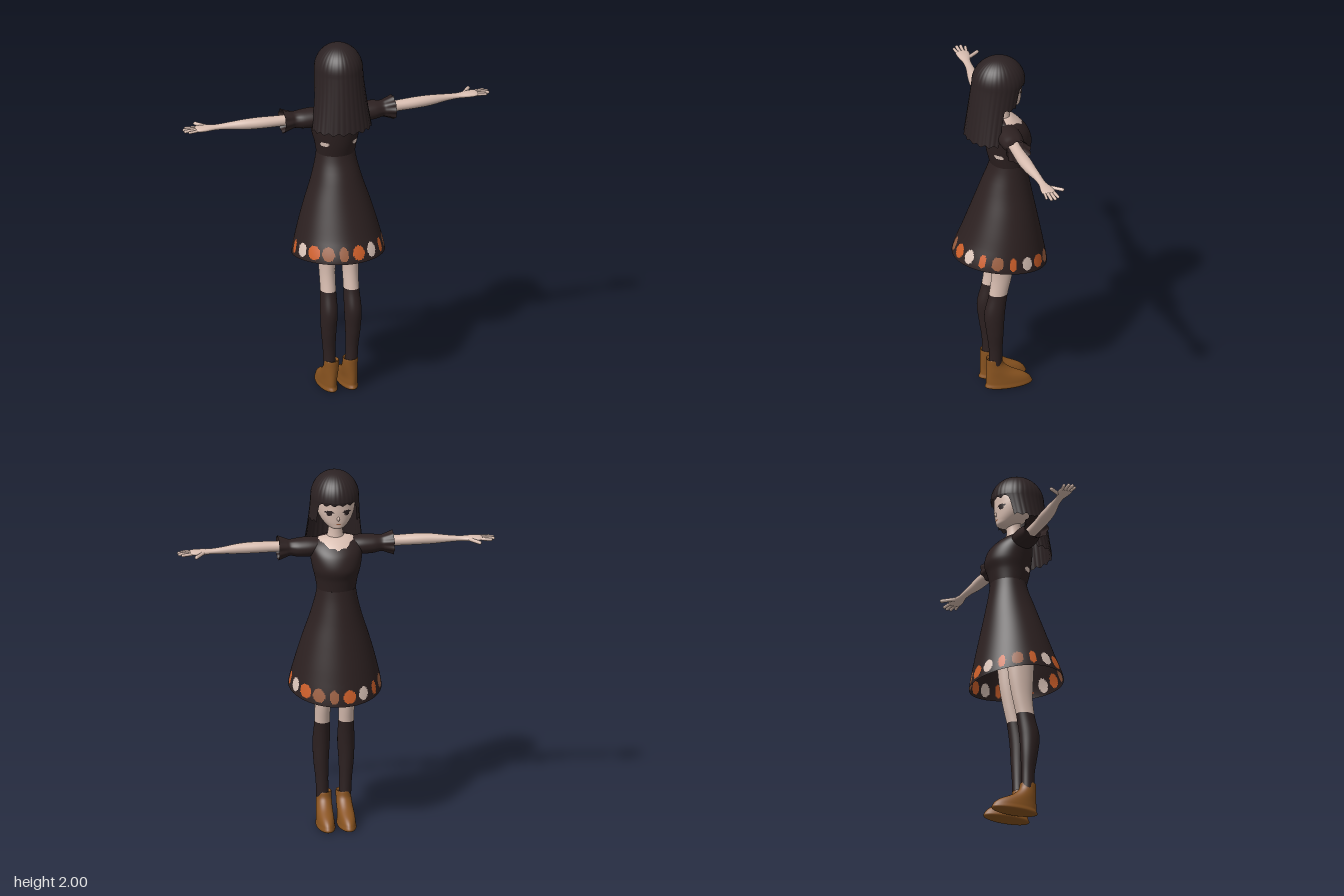
import * as THREE from 'three';

const flat = (name, color) => new THREE.MeshStandardMaterial({ name, color, side: THREE.DoubleSide });
const hairMat = flat('hair', 0x2c2223);
const cloth = flat('darkCloth', 0x2d2121);
const skin = flat('skin', 0xd8bdb0);
const leather = flat('tanLeather', 0x8a5420);
const orange = flat('orangeSpot', 0xd0602a);
const brown = flat('brownSpot', 0x9c5f40);
const pale = flat('paleSpot', 0xe0c8bc);

// Closed-around grid surface; paint() picks a material index for each quad centre.
function surface(name, nu, nv, fn, mats, paint = () => 0, flip = false) {
  const pos = [], faces = mats.map(() => []);
  for (let j = 0; j <= nv; j++)
    for (let i = 0; i < nu; i++) pos.push(...fn((i / nu) * Math.PI * 2, j / nv));
  for (let j = 0; j < nv; j++)
    for (let i = 0; i < nu; i++) {
      const k = (i + 1) % nu;
      const a = j * nu + i, b = a + nu, c = j * nu + k, d = c + nu;
      const mid = [0, 1, 2].map((n) => (pos[a * 3 + n] + pos[d * 3 + n]) / 2);
      const f = faces[paint(...mid, ((i + 0.5) / nu) * Math.PI * 2)];
      if (flip) f.push(a, c, b, c, d, b);
      else f.push(a, b, c, c, b, d);
    }
  const g = new THREE.BufferGeometry();
  g.setAttribute('position', new THREE.Float32BufferAttribute(pos, 3));
  g.setIndex(faces.flat());
  let start = 0;
  faces.forEach((f, m) => { g.addGroup(start, f.length, m); start += f.length; });
  g.computeVertexNormals();
  const mesh = new THREE.Mesh(g, mats.length > 1 ? mats : mats[0]);
  mesh.name = name;
  return mesh;
}

// Smooth interpolation through a list of cross-section rows.
function sample(rows, t) {
  const n = rows.length - 1, i = Math.min(n - 1, Math.floor(t * n)), f = t * n - i;
  const p = (k) => rows[Math.max(0, Math.min(n, k))];
  return rows[0].map((_, c) => {
    const [a, b, d, e] = [p(i - 1)[c], p(i)[c], p(i + 1)[c], p(i + 2)[c]];
    return b + 0.5 * f * (d - a + f * (2 * a - 5 * b + 4 * d - e + f * (3 * (b - d) + e - a)));
  });
}

// Upright body: rows run downwards as [y, cx, cz, rx, rz].
const upright = (rows, s = 1) => (p, v) => {
  const [y, cx, cz, rx, rz] = sample(rows, v);
  return [s * (cx + Math.max(0, rx) * Math.sin(p)), y, cz + Math.max(0, rz) * Math.cos(p)];
};
// Sideways limb: rows run outwards as [x, cy, cz, ry, rz].
const sideways = (rows, s, ruffle = () => 1) => (p, v) => {
  const [x, cy, cz, ry, rz] = sample(rows, v), k = ruffle(p, v);
  return [s * x, cy + Math.max(0, ry) * k * Math.sin(p), cz + Math.max(0, rz) * k * Math.cos(p)];
};

const inEllipse = (x, y, rx, ry) => (x / rx) ** 2 + (y / ry) ** 2 < 1;

// Hair: dome, straight fringe, short side locks and a long back curtain.
function hair(p, v) {
  const a = p > Math.PI ? 2 * Math.PI - p : p;
  const step = (edge) => THREE.MathUtils.smoothstep(a, edge - 0.02, edge + 0.02);
  const bottom = 1.545 + 0.19 * step(1.65) + 0.11 * step(2.25) + 0.006 * Math.cos(p * 18);
  let y, k = 1, d = 0;
  if (v < 0.4) {
    const q = (v / 0.4) * Math.PI / 2;
    y = 1.86 + 0.14 * Math.cos(q);
    k = Math.sin(q);
  } else {
    y = THREE.MathUtils.lerp(1.86, bottom, (v - 0.4) / 0.6);
    d = (1.86 - y) / 0.315;
  }
  const strand = k * (1 + (0.008 + 0.012 * d) * (Math.abs(Math.cos(p * 16)) - 0.6));
  return [(0.13 + 0.033 * d ** 1.5) * strand * Math.sin(p), y,
    0.005 + 0.055 * d + (0.145 - 0.015 * d) * strand * Math.cos(p)];
}

// Skirt: flared, with the hem dipping towards the face side (-z).
const skirtRows = [[0.105, -0.145, 0.05], [0.135, -0.17, 0.1], [0.18, -0.2, 0.15],
  [0.22, -0.23, 0.202], [0.25, -0.255, 0.255]];
const hemY = (p) => 0.815 - 0.07 * ((1 - Math.cos(p)) / 2) ** 1.7;
function skirt(p, v) {
  const s = v < 0.4 ? (v / 0.4) * 0.8 : 0.8 + ((v - 0.4) / 0.6) * 0.2;
  const [rx, front, back] = sample(skirtRows, s);
  return [rx * Math.sin(p), THREE.MathUtils.lerp(1.36, hemY(p), s),
    (front + back) / 2 + ((back - front) / 2) * Math.cos(p)];
}
// Spots around the hem: material index and half width.
const spots = [[1, 0.036], [3, 0.03], [1, 0.022], [2, 0.034], [1, 0.022], [3, 0.033],
  [1, 0.04], [2, 0.036], [2, 0.026]];
function hemSpot(x, y, z, p) {
  const count = 18, i = Math.floor((p / (2 * Math.PI)) * count);
  const [m, w] = spots[i % spots.length];
  const across = (p - ((i + 0.5) / count) * 2 * Math.PI) * 0.252;
  return inEllipse(across, y - hemY(p) - 0.052, w, 0.037) ? m : 0;
}

export function createModel() {
  const g = new THREE.Group();
  g.name = 'girl';

  g.add(surface('hair', 192, 40, hair, [hairMat]));

  // Head with painted eyes and mouth
  const headRows = [[1.96, 0, 0, 0, 0], [1.94, 0, 0, 0.07, 0.075], [1.88, 0, -0.005, 0.1, 0.112],
    [1.82, 0, -0.01, 0.105, 0.112], [1.77, 0, -0.025, 0.092, 0.094],
    [1.73, 0, -0.045, 0.066, 0.07], [1.705, 0, -0.06, 0.036, 0.046], [1.695, 0, -0.06, 0, 0]];
  g.add(surface('head', 144, 84, upright(headRows), [skin, hairMat, brown, pale], (x, y, z) => {
    if (z > -0.03) return 0;
    const ex = Math.abs(x) - 0.047, ey = y - 1.797;
    if (inEllipse(ex, ey, 0.026, 0.014)) return ey > 0 || Math.abs(ex) < 0.013 ? 1 : 3;
    return inEllipse(x, y - 1.733, 0.015, 0.003) ? 2 : 0;
  }));
  const nose = new THREE.Mesh(new THREE.SphereGeometry(0.01, 12, 8), skin);
  nose.name = 'nose';
  nose.scale.set(0.8, 1.3, 1.3);
  nose.position.set(0, 1.765, -0.116);
  g.add(nose);
  g.add(surface('neck', 32, 6, upright([[1.75, 0, -0.02, 0.042, 0.042],
    [1.68, 0, -0.015, 0.038, 0.04], [1.6, 0, -0.01, 0.055, 0.05]]), [skin]));

  // Bodice with scalloped neckline and two small pale patches on the back
  const bodiceRows = [[1.645, 0, -0.01, 0.03, 0.03], [1.635, 0, -0.01, 0.09, 0.058],
    [1.6, 0, -0.022, 0.135, 0.092], [1.55, 0, -0.038, 0.14, 0.118],
    [1.48, 0, -0.05, 0.13, 0.125], [1.42, 0, -0.046, 0.115, 0.112], [1.36, 0, -0.047, 0.105, 0.098]];
  g.add(surface('bodice', 120, 60, upright(bodiceRows), [cloth, skin, pale], (x, y, z) => {
    if (z < -0.01 && y > 1.583 + 0.01 * Math.abs(Math.sin(x * 70)) + 5 * x * x) return 1;
    return z > -0.02 && inEllipse(Math.abs(x) - 0.085, y - 1.432, 0.019, 0.014) ? 2 : 0;
  }));
  g.add(surface('skirt', 252, 36, skirt, [cloth, orange, brown, pale], hemSpot));

  const sleeveRows = [[0.08, 1.585, -0.012, 0.045, 0.06], [0.14, 1.583, -0.012, 0.052, 0.066],
    [0.2, 1.582, -0.012, 0.05, 0.062], [0.245, 1.583, -0.012, 0.044, 0.05],
    [0.27, 1.583, -0.012, 0.05, 0.055], [0.312, 1.583, -0.012, 0.064, 0.068]];
  const armRows = [[0.2, 1.59, -0.005, 0.03, 0.03], [0.32, 1.59, -0.005, 0.029, 0.031],
    [0.43, 1.592, -0.008, 0.03, 0.035], [0.52, 1.592, -0.014, 0.028, 0.03],
    [0.61, 1.591, -0.025, 0.019, 0.022], [0.68, 1.59, -0.03, 0.014, 0.021],
    [0.74, 1.59, -0.034, 0.015, 0.034], [0.785, 1.59, -0.035, 0.011, 0.034], [0.795, 1.59, -0.035, 0, 0]];
  const legRows = [[1.0, 0.065, -0.01, 0.055, 0.08], [0.89, 0.065, -0.004, 0.052, 0.076],
    [0.78, 0.065, 0, 0.047, 0.068], [0.67, 0.065, 0.009, 0.042, 0.056],
    [0.57, 0.065, 0.027, 0.042, 0.051], [0.46, 0.067, 0.047, 0.046, 0.056],
    [0.35, 0.068, 0.045, 0.041, 0.047], [0.24, 0.064, 0.04, 0.034, 0.037], [0.12, 0.06, 0.04, 0.033, 0.036]];
  const bootRows = [[0.165, 0.053, 0.044, 0.03, 0.034], [0.178, 0.053, 0.045, 0.04, 0.044],
    [0.14, 0.053, 0.04, 0.041, 0.049], [0.1, 0.055, 0.018, 0.043, 0.071],
    [0.062, 0.057, -0.018, 0.045, 0.108], [0.03, 0.057, -0.034, 0.047, 0.124],
    [0.002, 0.057, -0.034, 0.046, 0.122], [0, 0.057, -0.034, 0, 0]];
  // Fingers and thumb: [x0, z0, x1, z1, radius]
  const digits = [[0.77, -0.058, 0.835, -0.07, 0.0085], [0.775, -0.043, 0.85, -0.049, 0.009],
    [0.775, -0.027, 0.85, -0.027, 0.009], [0.77, -0.012, 0.832, -0.006, 0.0075],
    [0.715, -0.045, 0.768, -0.115, 0.01]];

  for (const [side, s] of [['left', 1], ['right', -1]]) {
    const flip = s < 0;
    g.add(surface(side + 'Sleeve', 72, 25,
      sideways(sleeveRows, s, (p, v) => 1 + 0.06 * v ** 3 * Math.cos(p * 9)), [cloth], undefined, flip));
    g.add(surface(side + 'Arm', 28, 40, sideways(armRows, s), [skin], undefined, flip));
    digits.forEach(([x0, z0, x1, z1, r], i) => {
      const a = new THREE.Vector3(s * x0, 1.59, z0), b = new THREE.Vector3(s * x1, 1.588, z1);
      const dir = b.clone().sub(a);
      const m = new THREE.Mesh(new THREE.CapsuleGeometry(r, dir.length(), 4, 10), skin);
      m.name = side + (i === 4 ? 'Thumb' : 'Finger' + (i + 1));
      m.position.copy(a).add(b).multiplyScalar(0.5);
      m.quaternion.setFromUnitVectors(new THREE.Vector3(0, 1, 0), dir.normalize());
      g.add(m);
    });
    // Leg with knee sock, and ankle boot
    g.add(surface(side + 'Leg', 40, 80, upright(legRows, s), [skin, cloth], (x, y) => (y < 0.585 ? 1 : 0), flip));
    g.add(surface(side + 'Boot', 40, 42, upright(bootRows, s), [leather], undefined, flip));
  }
  return g;
}
